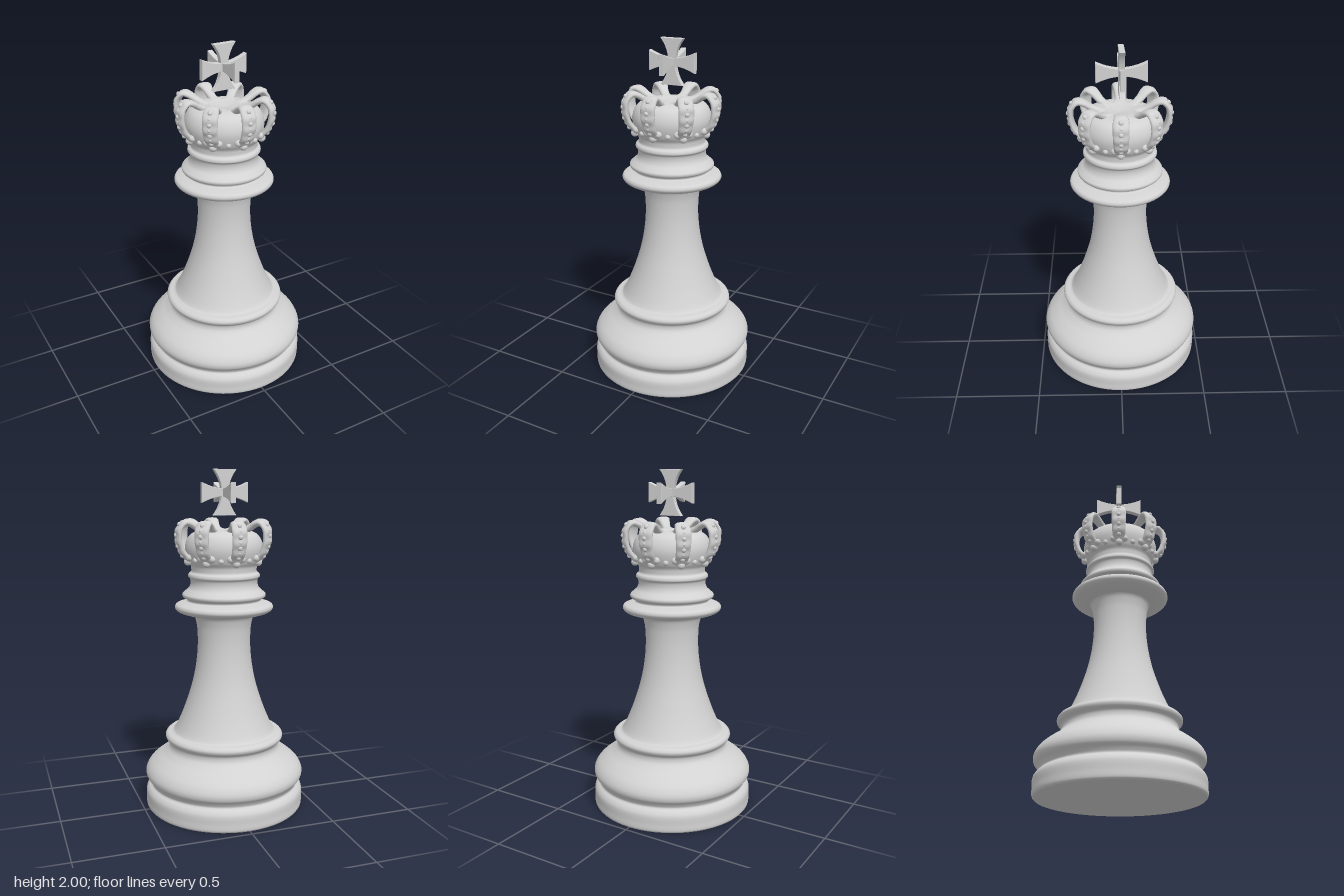
import * as THREE from 'three';

const ivory = new THREE.MeshStandardMaterial({ color: 0xd2d2d2 });
ivory.name = 'paleGrey';

function addMesh(parent, name, geometry) {
  const mesh = new THREE.Mesh(geometry, ivory);
  mesh.name = name;
  parent.add(mesh);
  return mesh;
}

// Turned part from a few [radius, height] points, smoothed by a spline
function turned(points, steps) {
  const curve = new THREE.CatmullRomCurve3(points.map(([r, y]) => new THREE.Vector3(r, y, 0)), false, 'centripetal');
  return new THREE.LatheGeometry(curve.getPoints(steps).map(p => new THREE.Vector2(Math.max(p.x, 0), p.y)), 72);
}

// Centre line of one crown arch, from the band up, over and in to the middle
const archPath = new THREE.CatmullRomCurve3([
  [0.205, 1.49], [0.245, 1.53], [0.267, 1.58], [0.273, 1.63], [0.262, 1.677],
  [0.232, 1.702], [0.198, 1.693], [0.165, 1.672], [0.13, 1.655], [0.085, 1.645],
].map(([x, y]) => new THREE.Vector3(x, y, 0)));

const outward = t => new THREE.Vector3(t.y, -t.x, 0);

// Oval section swept along the path, tapering inward, with a rippled outer face
function archGeometry() {
  const rows = 48, sides = 16, positions = [], index = [];
  for (let i = 0; i <= rows; i++) {
    const u = i / rows;
    const p = archPath.getPointAt(u);
    const n = outward(archPath.getTangentAt(u));
    const half = THREE.MathUtils.lerp(0.036, 0.044, Math.min(u / 0.4, 1))
      - 0.018 * THREE.MathUtils.smoothstep(u, 0.5, 0.85)
      + 0.02 * THREE.MathUtils.smoothstep(u, 0.88, 1);
    const ripple = u < 0.6 ? 0.003 * Math.sin(u * 45) : 0;
    for (let j = 0; j < sides; j++) {
      const a = j / sides * Math.PI * 2, c = Math.cos(a), s = Math.sin(a);
      const thick = 0.017 + (c > 0 ? ripple : 0);
      const across = Math.sign(s) * Math.pow(Math.abs(s), 0.7) * half;
      positions.push(p.x + n.x * c * thick, p.y + n.y * c * thick, across);
      if (i < rows) {
        const k = (j + 1) % sides, A = i * sides + j, B = i * sides + k;
        index.push(A, A + sides, B, B, A + sides, B + sides);
      }
    }
  }
  const g = new THREE.BufferGeometry();
  g.setAttribute('position', new THREE.Float32BufferAttribute(positions, 3));
  g.setIndex(index);
  g.computeVertexNormals();
  return g;
}

// Flared arms with hollow sides; with upright = false only the two level arms
function crossGeometry(upright) {
  const s = new THREE.Shape();
  const w = 0.02, ax = 0.138, ay = 0.128;
  s.moveTo(w, w);
  s.quadraticCurveTo(0.08, 0.025, ax, 0.054);
  s.lineTo(ax, -0.054);
  s.quadraticCurveTo(0.08, -0.025, w, -w);
  if (upright) {
    s.quadraticCurveTo(0.025, -0.08, 0.066, -ay);
    s.lineTo(-0.066, -ay);
    s.quadraticCurveTo(-0.025, -0.08, -w, -w);
  } else s.lineTo(-w, -w);
  s.quadraticCurveTo(-0.08, -0.025, -ax, -0.054);
  s.lineTo(-ax, 0.054);
  s.quadraticCurveTo(-0.08, 0.025, -w, w);
  if (upright) {
    s.quadraticCurveTo(-0.025, 0.08, -0.066, ay);
    s.lineTo(0.066, ay);
    s.quadraticCurveTo(0.025, 0.08, w, w);
  } else s.lineTo(w, w);
  const g = new THREE.ExtrudeGeometry(s, {
    depth: 0.026, curveSegments: 10, bevelEnabled: true,
    bevelSize: 0.003, bevelThickness: 0.003, bevelSegments: 2,
  });
  return g.translate(0, 0, -0.013);
}

export function createModel() {
  const model = new THREE.Group();
  model.name = 'chessKing';

  // Foot, bulge and step
  const underside = addMesh(model, 'underside', new THREE.CircleGeometry(0.466, 72));
  underside.rotation.x = Math.PI / 2;
  addMesh(model, 'base', turned([
    [0.466, 0], [0.474, 0.01], [0.475, 0.05], [0.474, 0.1], [0.462, 0.122], [0.443, 0.14], [0.452, 0.163],
    [0.472, 0.19], [0.475, 0.22], [0.455, 0.26], [0.41, 0.3], [0.36, 0.335], [0.332, 0.365], [0.33, 0.395],
    [0.35, 0.418], [0.354, 0.435], [0.342, 0.452], [0.31, 0.46], [0.29, 0.475],
  ], 110));

  // Waisted stem
  addMesh(model, 'stem', turned([
    [0.31, 0.455], [0.292, 0.48], [0.255, 0.56], [0.218, 0.66], [0.188, 0.76], [0.168, 0.86],
    [0.157, 0.96], [0.156, 1.05], [0.163, 1.12], [0.18, 1.165], [0.22, 1.18],
  ], 60));

  // Collar rings below the crown
  addMesh(model, 'collar', turned([
    [0.17, 1.163], [0.23, 1.175], [0.275, 1.192], [0.288, 1.21], [0.282, 1.228], [0.25, 1.24], [0.215, 1.25],
    [0.218, 1.262], [0.24, 1.272], [0.244, 1.288], [0.228, 1.305], [0.206, 1.325], [0.196, 1.35], [0.198, 1.378],
    [0.209, 1.392], [0.206, 1.408], [0.192, 1.42], [0.19, 1.44],
  ], 110));

  // Crown body with a shallow dish on top
  addMesh(model, 'crownBody', turned([
    [0.19, 1.43], [0.193, 1.455], [0.208, 1.48], [0.222, 1.52], [0.226, 1.56], [0.216, 1.6],
    [0.194, 1.632], [0.155, 1.652], [0.11, 1.659], [0.07, 1.65], [0, 1.64],
  ], 60));

  // Eight arches, each with beads along its back and three at its foot
  const archShape = archGeometry();
  const bead = new THREE.SphereGeometry(1, 14, 10);
  for (let i = 0; i < 8; i++) {
    const arch = new THREE.Group();
    arch.name = 'crownArch' + (i + 1);
    arch.rotation.y = i * Math.PI / 4;
    addMesh(arch, 'archBand', archShape);
    for (let k = 0; k < 7; k++) {
      const u = 0.12 + k * 0.07;
      const n = outward(archPath.getTangentAt(u));
      const b = addMesh(arch, 'archBead', bead);
      b.position.copy(archPath.getPointAt(u)).addScaledVector(n, 0.011);
      b.scale.setScalar(k % 2 ? 0.011 : 0.014);
    }
    for (const [x, y, z, r] of [[0.217, 1.482, 0, 0.023], [0.217, 1.507, 0.034, 0.02], [0.217, 1.507, -0.034, 0.02]]) {
      const b = addMesh(arch, 'footBead', bead);
      b.position.set(x, y, z);
      b.scale.setScalar(r);
    }
    // Single bead on the band between two arches
    const between = addMesh(arch, 'bandBead', bead);
    const a = Math.PI / 8;
    between.position.set(0.212 * Math.cos(a), 1.495, 0.212 * Math.sin(a));
    between.scale.setScalar(0.016);
    model.add(arch);
  }

  // Four-way cross floating above the crown
  const cross = new THREE.Group();
  cross.name = 'cross';
  cross.position.set(0, 1.869, -0.008);
  cross.rotation.y = 0.045;
  addMesh(cross, 'crossFront', crossGeometry(true));
  addMesh(cross, 'crossSide', crossGeometry(false)).rotation.y = Math.PI / 2;
  model.add(cross);

  return model;
}
